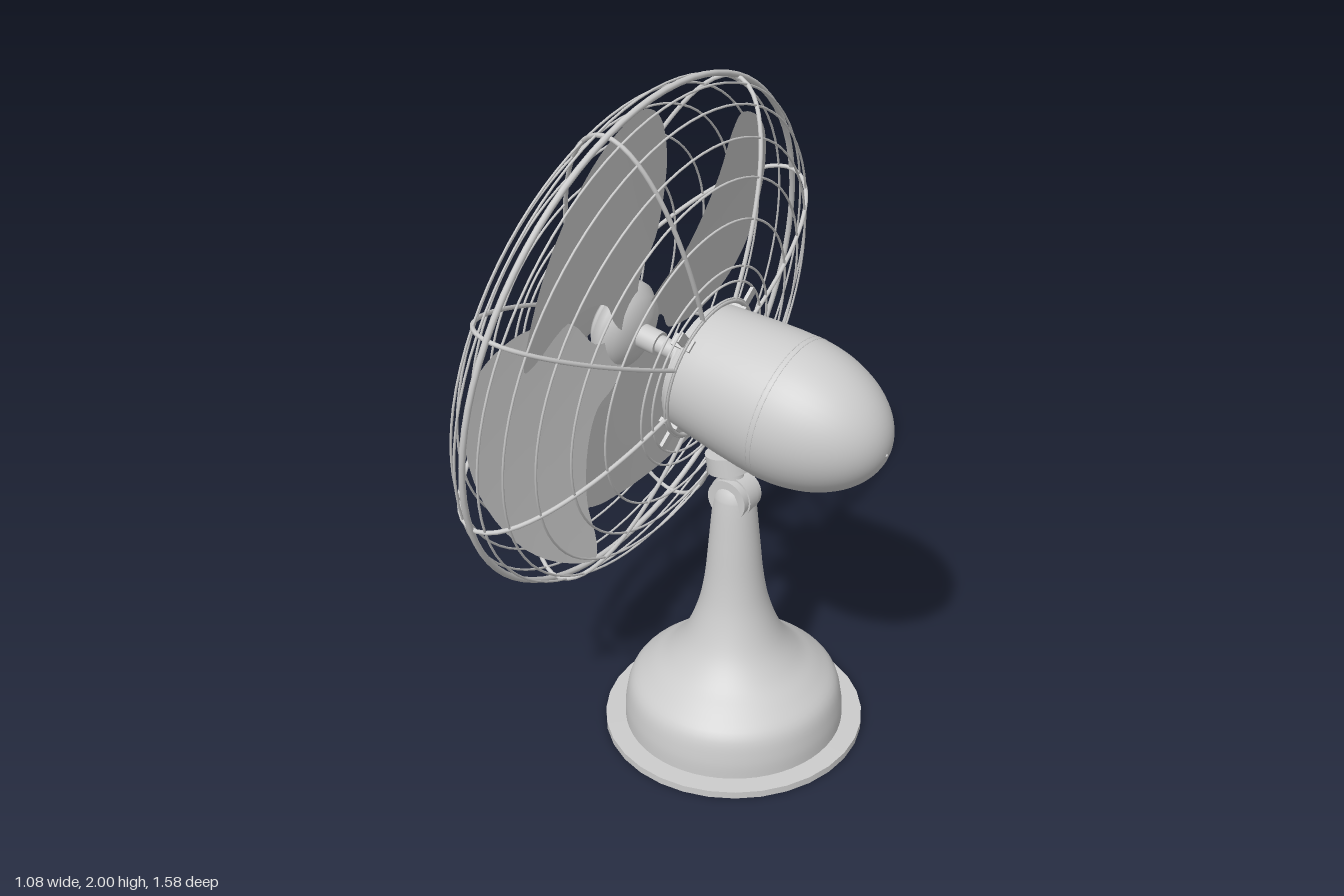
import * as THREE from 'three';

const grey = new THREE.MeshStandardMaterial({ color: 0xcccccc });
const thin = new THREE.MeshStandardMaterial({ color: 0xcccccc, side: THREE.DoubleSide });

function add(parent, name, geometry, material = grey) {
  const mesh = new THREE.Mesh(geometry, material);
  mesh.name = name;
  parent.add(mesh);
  return mesh;
}

const v2 = (pts) => pts.map(([r, y]) => new THREE.Vector2(r, y));
const lathe = (pts, segments = 48) => new THREE.LatheGeometry(v2(pts), segments);

// Ring lying square to the local y axis
function ring(parent, name, radius, y, tube) {
  const mesh = add(parent, name, new THREE.TorusGeometry(radius, tube, 8, 80));
  mesh.rotation.x = Math.PI / 2;
  mesh.position.y = y;
  return mesh;
}

function cylinder(parent, name, radius, y0, y1) {
  const mesh = add(parent, name, new THREE.CylinderGeometry(radius, radius, y1 - y0, 32));
  mesh.position.y = (y0 + y1) / 2;
  return mesh;
}

// Cambered, pitched blade: outline shrunk in steps towards its middle
function bladeGeometry() {
  const outline = [[-0.655, 0.212], [-0.615, 0.33], [-0.5, 0.48], [-0.3, 0.615], [-0.12, 0.67],
    [0.0, 0.672], [0.1, 0.61], [0.153, 0.48], [0.145, 0.35], [0.11, 0.25], [0.02, 0.165], [-0.005, 0.06],
    [-0.07, 0.04], [-0.14, 0.1], [-0.18, 0.165], [-0.28, 0.212], [-0.45, 0.23], [-0.6, 0.203]];
  const curve = new THREE.CatmullRomCurve3(
    outline.map(([a, b]) => new THREE.Vector3(a, b, 0)), true, 'centripetal');
  const n = 72, steps = 6, pos = [], index = [];
  const edge = curve.getPoints(n);
  for (let s = 0; s <= steps; s++) {
    for (let i = 0; i <= n; i++) {
      const k = s / steps;
      const a = -0.2 + (edge[i].x + 0.2) * k, b = 0.4 + (edge[i].y - 0.4) * k;
      const t = 0.88 * a + 0.47 * b;
      pos.push(b, 0.03 + 0.205 * t - 0.04 * t * t, -a);
      if (s < steps && i < n) {
        const p = s * (n + 1) + i, q = p + n + 1;
        if (s > 0) index.push(p, q, p + 1);
        index.push(q, q + 1, p + 1);
      }
    }
  }
  const g = new THREE.BufferGeometry();
  g.setAttribute('position', new THREE.Float32BufferAttribute(pos, 3));
  g.setIndex(index);
  g.computeVertexNormals();
  return g;
}

function buildStand() {
  const stand = new THREE.Group();
  stand.name = 'stand';
  stand.position.x = 0.05;
  cylinder(stand, 'basePlate', 0.396, 0, 0.022);
  const profile = new THREE.SplineCurve(v2([[0.335, 0.02], [0.332, 0.08], [0.314, 0.15], [0.262, 0.2],
    [0.2, 0.25], [0.147, 0.32], [0.108, 0.42], [0.088, 0.52], [0.076, 0.64], [0.066, 0.75], [0.06, 0.8]]));
  add(stand, 'pedestal', new THREE.LatheGeometry([...profile.getPoints(44),
    ...v2([[0.053, 0.825], [0.035, 0.848], [0, 0.857]])], 56));
  // Tilting hinge at the top of the post
  for (const [name, radius, width] of [['hingeKnuckle', 0.063, 0.09], ['hingeTab', 0.068, 0.045]]) {
    const part = add(stand, name, new THREE.CylinderGeometry(radius, radius, width, 32));
    part.rotation.x = Math.PI / 2;
    part.position.y = 0.798;
  }
  const neck = new THREE.Group();
  neck.name = 'neck';
  neck.position.set(0, 0.8, 0);
  neck.rotation.z = THREE.MathUtils.degToRad(10);
  stand.add(neck);
  cylinder(neck, 'neckStem', 0.036, 0, 0.22);
  cylinder(neck, 'neckCollar', 0.067, 0.083, 0.138);
  return stand;
}

function buildMotor(head) {
  // Tapered front housing and rounded tail
  const tail = [];
  for (let i = 0; i <= 20; i++) {
    const a = (i / 20) * Math.PI / 2;
    tail.push([0.211 * Math.sin(a), -0.5 - 0.31 * Math.cos(a)]);
  }
  add(head, 'motorTail', lathe(tail));
  add(head, 'motorHousing', lathe([[0.211, -0.5], [0.209, -0.44], [0.203, -0.36], [0.195, -0.28],
    [0.188, -0.215], [0.18, -0.2]]));
  cylinder(head, 'motorFace', 0.181, -0.205, -0.198);
  for (const y of [-0.51, -0.495]) ring(head, 'motorSeam', 0.2102, y, 0.0015);
  add(head, 'tailScrew', new THREE.SphereGeometry(0.005, 10, 8)).position.y = -0.809;
  cylinder(head, 'bearingCap', 0.075, -0.2, -0.145);
  cylinder(head, 'shaft', 0.027, -0.15, 0.03);
  cylinder(head, 'shaftCollar', 0.036, -0.06, 0);
  // Clips holding the cage to the motor
  for (let i = 0; i < 4; i++) {
    const arm = new THREE.Group();
    arm.name = 'cageClip';
    arm.rotation.y = Math.PI / 4 + i * Math.PI / 2;
    head.add(arm);
    add(arm, 'clipFoot', new THREE.BoxGeometry(0.014, 0.06, 0.035)).position.set(0.192, -0.215, 0);
    add(arm, 'clipTab', new THREE.BoxGeometry(0.07, 0.01, 0.03)).position.set(0.225, -0.228, 0);
  }
}

function buildRotor(head) {
  const rotor = new THREE.Group();
  rotor.name = 'rotor';
  head.add(rotor);
  const hub = add(rotor, 'hub', lathe([[0, 0.012], [0.06, 0.018], [0.11, 0.04], [0.138, 0.075], [0.14, 0.095],
    [0.105, 0.1], [0.1, 0.125], [0.085, 0.138], [0, 0.142]]));
  hub.position.y = -0.015;
  const blade = bladeGeometry();
  for (let i = 0; i < 4; i++) add(rotor, 'blade', blade, thin).rotation.y = i * Math.PI / 2;
}

function buildCage(head) {
  const cage = new THREE.Group();
  cage.name = 'cage';
  head.add(cage);
  const R = 0.775, H = 0.24;
  const depth = (r) => H * Math.sqrt(1 - (r / R) ** 2);
  // Rim and concentric wires, front and back
  ring(cage, 'rim', 0.779, 0, 0.009);
  for (const r of [0.765, 0.722, 0.645, 0.545, 0.435, 0.305, 0.262, 0.212]) {
    for (const side of [-1, 1]) ring(cage, 'wireRing', r, side * depth(r), 0.0035);
  }
  // Spokes curving from the front badge over the rim to the back ring
  const points = [];
  const start = Math.acos(0.12 / R), end = -Math.acos(0.205 / R);
  for (let i = 0; i <= 24; i++) {
    const a = start + (end - start) * i / 24;
    points.push(new THREE.Vector3(R * Math.cos(a), H * Math.sin(a), 0));
  }
  const spoke = new THREE.TubeGeometry(new THREE.CatmullRomCurve3(points), 48, 0.0065, 8);
  for (let i = 0; i < 8; i++) add(cage, 'spoke', spoke).rotation.y = Math.PI / 8 + i * Math.PI / 4;
  ring(cage, 'backRing', 0.205, -depth(0.205), 0.007);
  // Round badge at the front centre with raised rings
  add(cage, 'badge', lathe([[0, 0.215], [0.11, 0.215], [0.136, 0.22], [0.14, 0.232], [0.128, 0.245],
    [0.108, 0.248], [0.098, 0.238], [0.05, 0.246], [0, 0.249]]));
  for (const r of [0.02, 0.04, 0.06, 0.08]) ring(cage, 'badgeRing', r, 0.2485 - r * r * 1.1, 0.0025);
}

export function createModel() {
  const model = new THREE.Group();
  model.name = 'deskFan';
  model.add(buildStand());
  // Head: local y runs forward along the shaft, tilted slightly upwards
  const head = new THREE.Group();
  head.name = 'fanHead';
  head.position.set(-0.265, 1.222, 0);
  head.rotation.z = THREE.MathUtils.degToRad(80);
  model.add(head);
  buildMotor(head);
  buildRotor(head);
  buildCage(head);
  return model;
}
